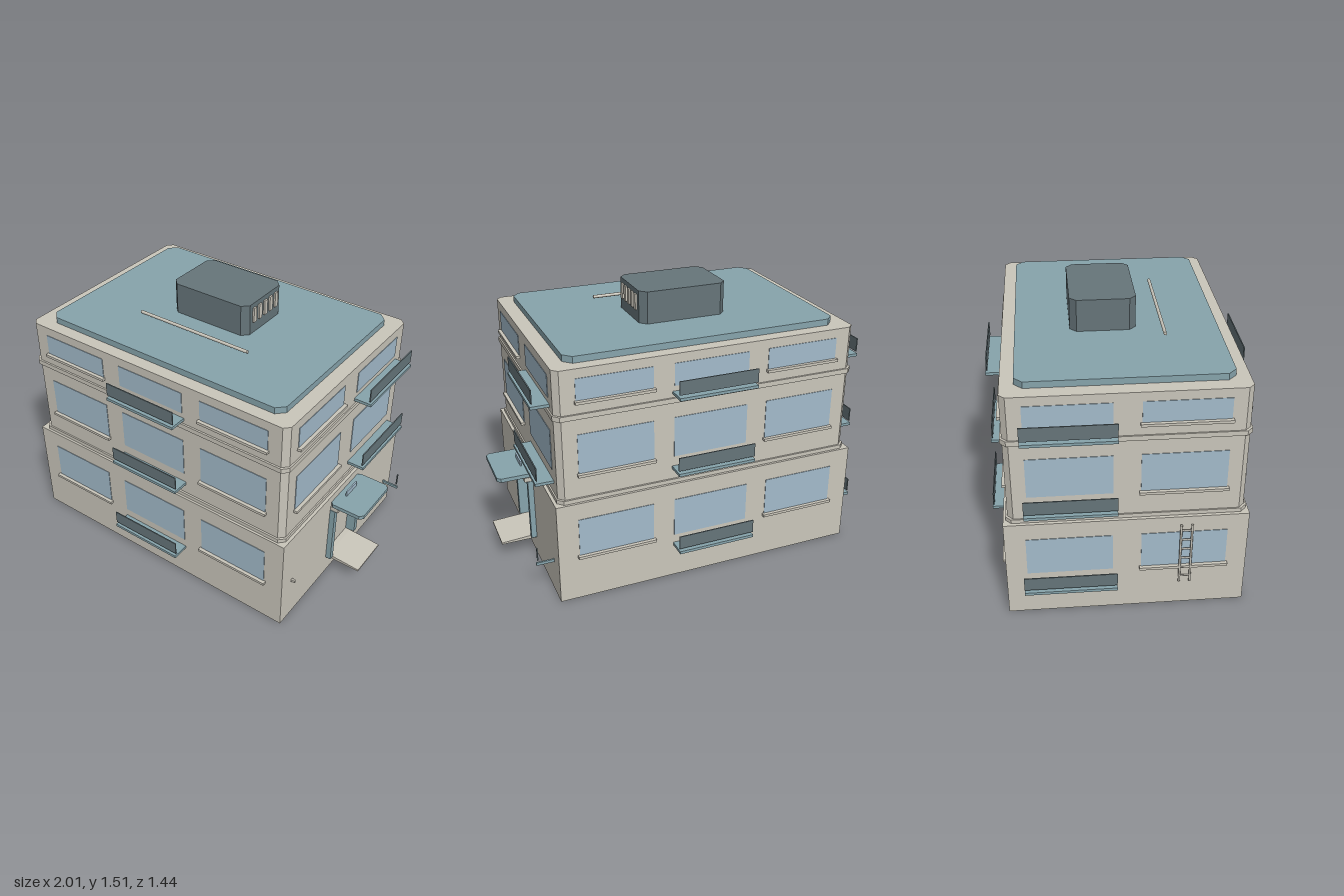
import * as THREE from 'three';

const CX = -0.052; // centre line of the building

function mat(name, color) {
  const m = new THREE.MeshStandardMaterial({ color });
  m.name = name;
  return m;
}

export function createModel() {
  const model = new THREE.Group();
  model.name = 'building';
  const wall = mat('wall beige', 0xcac6bb);
  const glass = mat('window blue', 0xa3bbcb);
  const teal = mat('roof teal', 0x87a4ac);
  const dark = mat('dark slate', 0x66757a);

  function add(parent, name, geo, material, x = 0, y = 0, z = 0) {
    const m = new THREE.Mesh(geo, material);
    m.name = name;
    m.position.set(x, y, z);
    parent.add(m);
    return m;
  }
  // Box given by its lower and upper limits
  function box(parent, name, material, x0, x1, y0, y1, z0, z1) {
    return add(parent, name, new THREE.BoxGeometry(x1 - x0, y1 - y0, z1 - z0), material,
      (x0 + x1) / 2, (y0 + y1) / 2, (z0 + z1) / 2);
  }
  // Upright block with cut corners
  function block(name, material, x0, x1, y0, y1, z0, z1, c) {
    const pts = [[x0 + c, z0], [x1 - c, z0], [x1, z0 + c], [x1, z1 - c],
      [x1 - c, z1], [x0 + c, z1], [x0, z1 - c], [x0, z0 + c]];
    const shape = new THREE.Shape(pts.map(([x, z]) => new THREE.Vector2(x, -z)));
    const geo = new THREE.ExtrudeGeometry(shape, { depth: y1 - y0, bevelEnabled: false });
    geo.rotateX(-Math.PI / 2);
    return add(model, name, geo, material, 0, y0, 0);
  }

  // Ground floor, with an entrance opening in the layer on the +x side
  box(model, 'groundFloor', wall, -0.91, 0.78, 0, 0.575, -0.625, 0.625);
  const entrance = new THREE.Shape([[-0.625, 0], [0.625, 0], [0.625, 0.575], [-0.625, 0.575]]
    .map(p => new THREE.Vector2(...p)));
  entrance.holes.push(new THREE.Path([[-0.14, 0.105], [-0.14, 0.485], [0.14, 0.485], [0.14, 0.105]]
    .map(p => new THREE.Vector2(...p))));
  const entranceGeo = new THREE.ExtrudeGeometry(entrance, { depth: 0.025, bevelEnabled: false });
  add(model, 'entranceWall', entranceGeo.rotateY(Math.PI / 2), wall, 0.78, 0, 0);

  // Upper floors and the bands between them
  block('lowerBand', wall, -0.892, 0.788, 0.572, 0.597, -0.612, 0.612, 0.03);
  block('secondFloor', wall, -0.884, 0.78, 0.597, 1.04, -0.602, 0.602, 0.03);
  block('upperBand', wall, -0.892, 0.788, 1.037, 1.064, -0.612, 0.612, 0.03);
  block('thirdFloor', wall, -0.884, 0.78, 1.064, 1.3, -0.602, 0.602, 0.03);

  // Roof slab, plant room with vents, and the rod on the roof
  block('roof', teal, -0.803, 0.7, 1.3, 1.335, -0.532, 0.532, 0.042);
  block('roofHouse', dark, -0.295, 0.195, 1.335, 1.51, -0.245, 0.1, 0.035);
  for (let i = 0; i < 5; i++) {
    const z = -0.072 + (i - 2) * 0.05;
    box(model, 'vent', wall, 0.19, 0.205, 1.4, 1.484, z - 0.013, z + 0.013);
  }
  const rod = add(model, 'roofRod', new THREE.CylinderGeometry(0.009, 0.009, 0.7, 10), wall, -0.05, 1.356, 0.238);
  rod.rotation.z = Math.PI / 2;

  // Facade fittings; in each facade x runs along the wall and z points outward
  function windowPane(f, u, w, y0, y1, d) {
    box(f, 'window', glass, u - w / 2, u + w / 2, y0, y1, d - 0.002, d + 0.003);
  }
  function sill(f, u, w, y, d) {
    box(f, 'sill', wall, u - w / 2, u + w / 2, y - 0.008, y + 0.007, d - 0.005, d + 0.022);
  }
  function balcony(f, u, w, y, d) {
    box(f, 'balconySlab', teal, u - w / 2, u + w / 2, y, y + 0.016, d - 0.005, d + 0.097);
    box(f, 'balconyRail', dark, u - w / 2, u + w / 2, y + 0.03, y + 0.105, d + 0.085, d + 0.091);
  }
  const floors = [
    { y0: 0.26, y1: 0.48, slab: 0.195, out: 0.023, gap: 0.538, side: 0.295, grow: 0.012 },
    { y0: 0.728, y1: 0.952, slab: 0.656, out: 0, gap: 0.522, side: 0.285, grow: 0 },
    { y0: 1.128, y1: 1.25, slab: 1.083, out: 0, gap: 0.522, side: 0.285, grow: 0 },
  ];
  const facades = { front: 0, right: -Math.PI / 2, back: Math.PI, left: Math.PI / 2 };
  for (const [name, turn] of Object.entries(facades)) {
    const f = new THREE.Group();
    f.name = name + 'Facade';
    f.position.x = CX;
    f.rotation.y = turn;
    model.add(f);
    const long = name === 'front' || name === 'back';
    floors.forEach((fl, level) => {
      const d = (long ? 0.602 : 0.832) + fl.out + (!long && level === 0 ? 0.003 : 0);
      if (long) {
        windowPane(f, 0, 0.415 + fl.grow, fl.y0, fl.y1, d);
        balcony(f, 0, 0.436, fl.slab, d);
        for (const s of [-1, 1]) {
          windowPane(f, s * fl.gap, 0.405 + fl.grow / 2, fl.y0, fl.y1, d);
          sill(f, s * fl.gap, 0.42 + fl.grow, fl.y0, d);
        }
        return;
      }
      // Balcony towards the back, plain window towards the front
      const s = name === 'left' ? 1 : -1;
      if (name === 'left' && level === 0) {
        // Entrance side: only slivers of the fittings at ground level
        balcony(f, 0.529, 0.01, fl.slab, d);
        sill(f, -0.529, 0.012, fl.y0, d);
        return;
      }
      windowPane(f, s * fl.side, 0.432 + fl.grow, fl.y0, fl.y1, d);
      windowPane(f, -s * fl.side, 0.432 + fl.grow, fl.y0, fl.y1, d);
      balcony(f, s * fl.side, 0.465 + fl.grow, fl.slab, d);
      sill(f, -s * fl.side, 0.45 + fl.grow, fl.y0, d);
    });
  }

  // Entrance: posts, lintel, canopy, sign plate and step
  for (const s of [-1, 1]) {
    box(model, 'doorPost', teal, 0.78, 0.835, 0.113, 0.478, s * 0.138 - 0.015, s * 0.138 + 0.015);
  }
  box(model, 'lintel', wall, 0.78, 0.852, 0.477, 0.502, -0.15, 0.15);
  box(model, 'canopyBase', teal, 0.8, 0.91, 0.498, 0.508, -0.11, 0.11);
  block('canopy', teal, 0.8, 1.0, 0.508, 0.53, -0.157, 0.157, 0.02);
  box(model, 'canopyPlate', glass, 0.841, 0.849, 0.53, 0.56, -0.055, 0.055);
  const step = new THREE.Shape([[0.78, 0.092], [1.0, 0.092], [1.0, 0.102], [0.81, 0.113], [0.78, 0.113]]
    .map(p => new THREE.Vector2(...p)));
  add(model, 'step', new THREE.ExtrudeGeometry(step, { depth: 0.246, bevelEnabled: false }), wall, 0, 0, -0.123);

  // Ladder on the -x wall
  const ladder = new THREE.Group();
  ladder.name = 'ladder';
  model.add(ladder);
  for (const z of [0.274, 0.33]) {
    add(ladder, 'ladderRail', new THREE.CylinderGeometry(0.006, 0.006, 0.375, 8), wall, -0.928, 0.348, z);
  }
  for (let i = 0; i < 6; i++) {
    const rung = add(ladder, 'ladderRung', new THREE.CylinderGeometry(0.005, 0.005, 0.056, 8), wall,
      -0.928, 0.2 + i * 0.06, 0.302);
    rung.rotation.x = Math.PI / 2;
  }
  return model;
}
